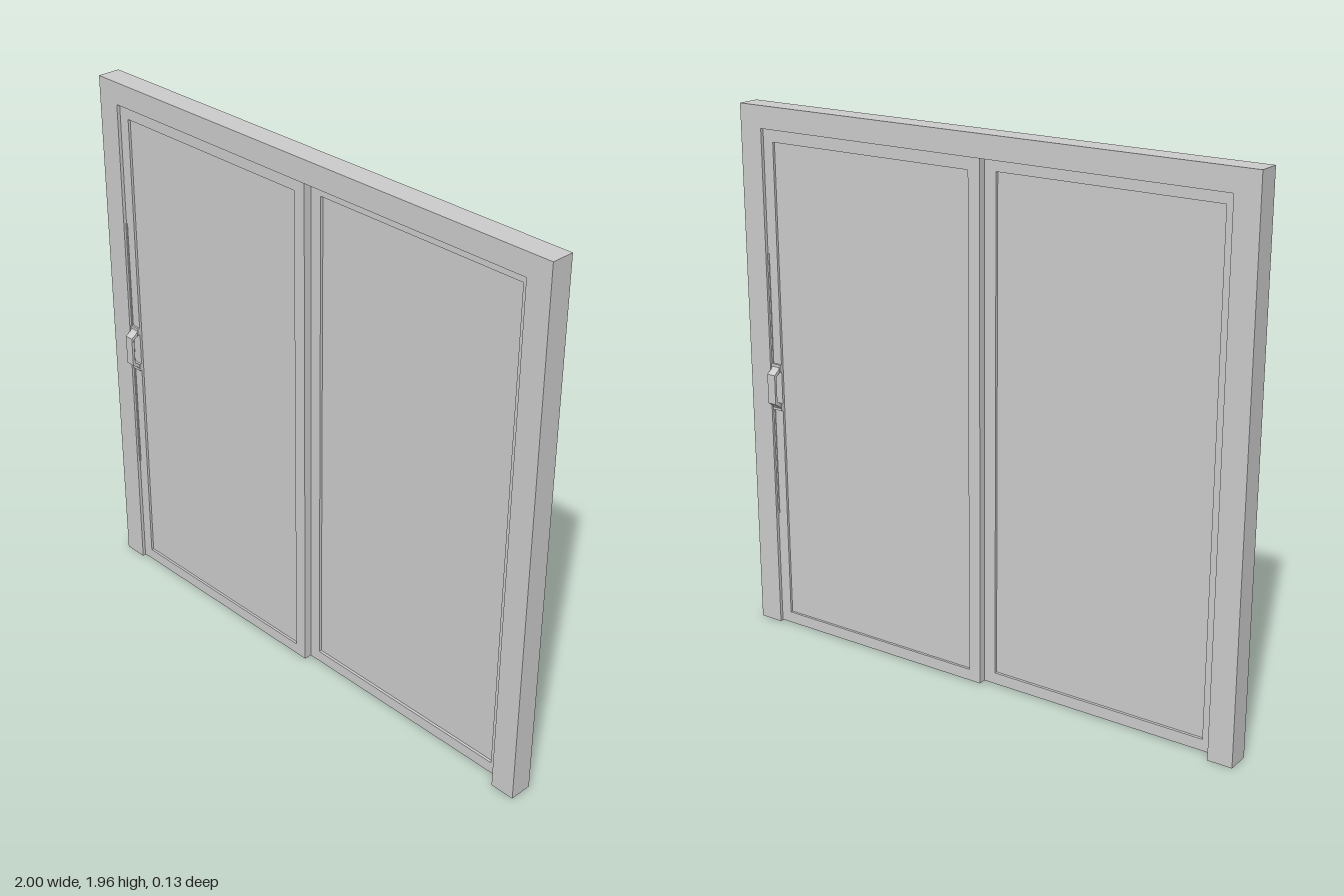
import * as THREE from 'three';

const material = new THREE.MeshStandardMaterial({ color: 0xcccccc, flatShading: true });

function part(name, geometry, parent) {
  const mesh = new THREE.Mesh(geometry, material);
  mesh.name = name;
  parent.add(mesh);
  return mesh;
}

function box(name, x0, x1, y0, y1, z0, z1, parent) {
  const mesh = part(name, new THREE.BoxGeometry(x1 - x0, y1 - y0, z1 - z0), parent);
  mesh.position.set((x0 + x1) / 2, (y0 + y1) / 2, (z0 + z1) / 2);
  return mesh;
}

function polygon(points) {
  return new THREE.Shape(points.map(([x, y]) => new THREE.Vector2(x, y)));
}

function extrude(shape, depth) {
  return new THREE.ExtrudeGeometry(shape, { depth, bevelEnabled: false });
}

// Pull handle: a bent strap seen from the side (outward, up), extruded across its width
function createHandle() {
  const handle = new THREE.Group();
  handle.name = 'handle';
  const strap = polygon([
    [0, 0.85], [0.015, 0.868], [0.036, 0.882], [0.036, 0.992], [0.015, 1.006], [0, 1.025],
    [0, 1.008], [0.01, 0.995], [0.026, 0.984], [0.026, 0.89], [0.01, 0.879], [0, 0.867],
  ]);
  const geometry = extrude(strap, 0.034);
  geometry.rotateY(-Math.PI / 2);
  part('handleStrap', geometry, handle).position.set(-0.871, 0, 0.03);
  // Wider foot pads where the strap meets the stile
  for (const y of [0.85, 0.998]) box('handleFoot', -0.908, -0.868, y, y + 0.027, 0.03, 0.038, handle);
  return handle;
}

// Sliding leaf: border of stiles and rails around a recessed pane
function createLeaf() {
  const leaf = new THREE.Group();
  leaf.name = 'slidingLeaf';
  const border = polygon([[-0.912, 0.003], [0.001, 0.003], [0.001, 1.876], [-0.912, 1.876]]);
  border.holes.push(polygon([[-0.868, 0.045], [-0.868, 1.83], [-0.045, 1.83], [-0.045, 0.045]]));
  part('leafBorder', extrude(border, 0.031), leaf).position.z = -0.001;
  box('pane', -0.87, -0.043, 0.043, 1.832, 0.009, 0.021, leaf);
  box('lockStrip', -0.91, -0.904, 0.44, 1.43, 0.028, 0.033, leaf);
  leaf.add(createHandle());
  return leaf;
}

export function createModel() {
  const model = new THREE.Group();
  model.name = 'slidingDoor';

  // Outer frame, open at the floor
  const outline = polygon([
    [-1, 0], [-0.91, 0], [-0.91, 1.875], [0.91, 1.875],
    [0.91, 0], [1, 0], [1, 1.955], [-1, 1.955],
  ]);
  part('doorFrame', extrude(outline, 0.084), model).position.z = -0.042;

  // Two leaves on parallel tracks, the second turned half way round
  for (const turn of [0, Math.PI]) {
    const leaf = createLeaf();
    leaf.rotation.y = turn;
    model.add(leaf);
  }
  return model;
}
